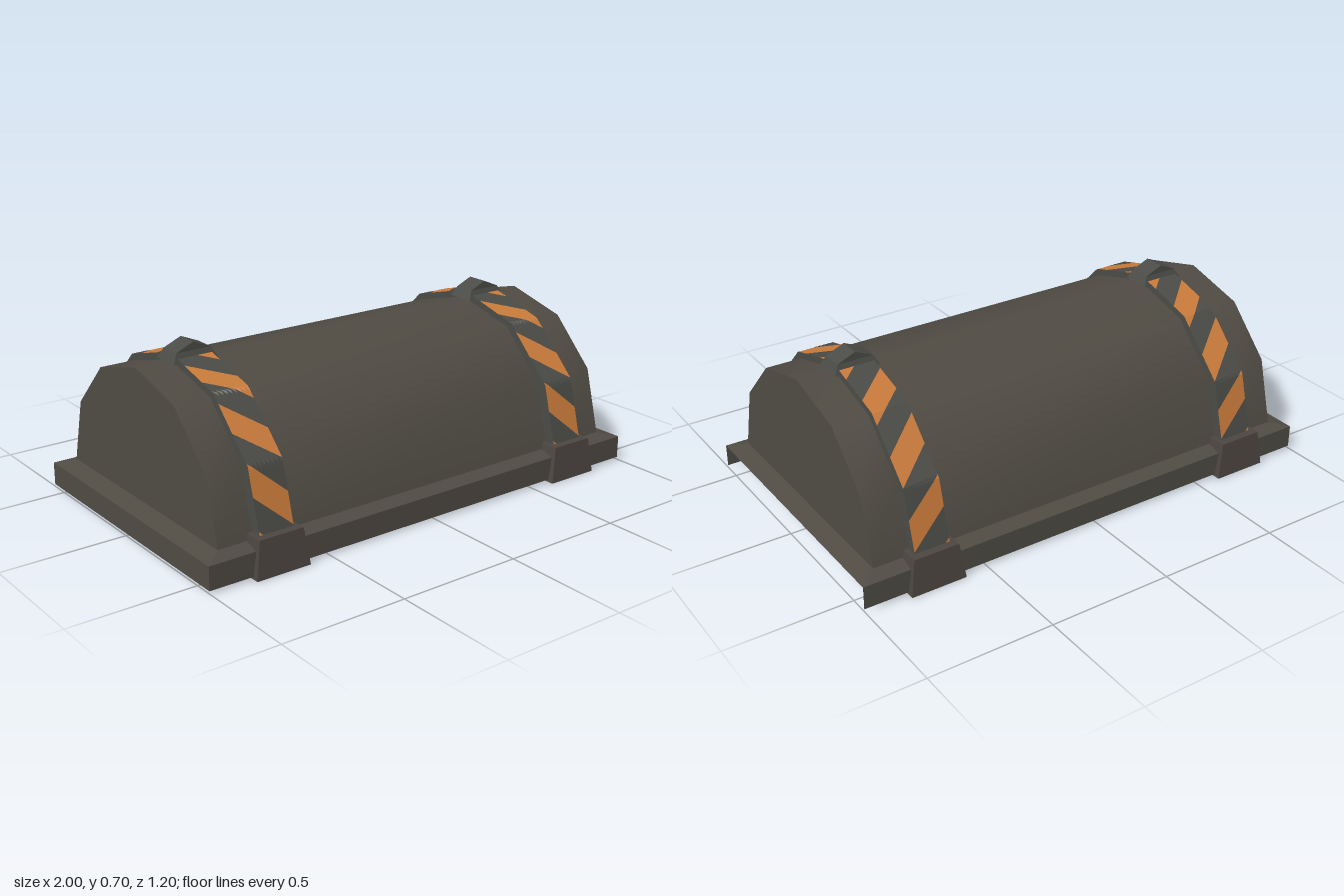
import * as THREE from 'three';

const mat = (name, color) => new THREE.MeshStandardMaterial({ name, color, side: THREE.DoubleSide });

// Half cross-sections as [z, y], from the crown down to the rim
const HULL = [[0, 0.637], [0.265, 0.568], [0.45, 0.38], [0.52, 0.12]];
const BAND = [[0, 0.667], [0.288, 0.587], [0.495, 0.38], [0.57, 0.1]];
const X_IN = 0.638, X_OUT = 0.782; // inner and outer edge of each strap

// Full arch running from back rim to front rim
const arch = (half) => [...half.slice(1).reverse().map(([z, y]) => [-z, y]), ...half];

// Flat-shaded faces from a list of four-cornered polygons
function quads(list) {
  const pos = [];
  for (const [a, b, c, d] of list) pos.push(...a, ...b, ...c, ...a, ...c, ...d);
  const g = new THREE.BufferGeometry();
  g.setAttribute('position', new THREE.Float32BufferAttribute(pos, 3));
  g.computeVertexNormals();
  return g;
}

// Smooth arched shell between two x positions
function shell(x0, x1) {
  const pos = [], idx = [], pts = arch(HULL);
  pts.forEach(([z, y], i) => {
    pos.push(x0, y, z, x1, y, z);
    if (i) {
      const k = 2 * i;
      idx.push(k - 2, k, k - 1, k - 1, k, k + 1);
    }
  });
  const g = new THREE.BufferGeometry();
  g.setAttribute('position', new THREE.Float32BufferAttribute(pos, 3));
  g.setIndex(idx);
  g.computeVertexNormals();
  return g;
}

// Point on the strap at arc length s from the crown
const bandLength = BAND.slice(1).reduce((t, p, i) => t + Math.hypot(p[0] - BAND[i][0], p[1] - BAND[i][1]), 0);
function bandPoint(s) {
  for (let i = 0; i < BAND.length - 1; i++) {
    const [a, b] = [BAND[i], BAND[i + 1]];
    const len = Math.hypot(b[0] - a[0], b[1] - a[1]);
    if (s <= len || i === BAND.length - 2) {
      const t = Math.min(s / len, 1);
      return [a[0] + (b[0] - a[0]) * t, a[1] + (b[1] - a[1]) * t];
    }
    s -= len;
  }
}

// Slanted stripes on a strap, mirrored front to back at the crown
function stripes(xStart, offset) {
  const list = [], period = 0.24, cols = 8, rows = 8, width = X_OUT - X_IN;
  const clamp = (s) => Math.min(Math.max(s, 0), bandLength);
  for (const side of [1, -1]) {
    const at = (u, s) => {
      const [z, y] = bandPoint(clamp(s + u * 0.13));
      return [xStart + u * width, y, side * z];
    };
    for (let k = -1; k < 4; k++) for (let r = 0; r < rows; r++) for (let c = 0; c < cols; c++) {
      const s0 = offset + k * period + (r / rows) * 0.12, s1 = s0 + 0.12 / rows;
      const u0 = c / cols, u1 = (c + 1) / cols;
      if (clamp(s1 + u1 * 0.13) - clamp(s0 + u0 * 0.13) < 1e-5) continue;
      const q = [at(u0, s0), at(u0, s1), at(u1, s1), at(u1, s0)];
      list.push(side > 0 ? q : q.reverse());
    }
  }
  return quads(list);
}

// Side walls joining a strap to the shell
function strapWalls(sx) {
  const hull = arch(HULL), band = arch(BAND), list = [];
  for (const [x, out] of [[X_IN, -sx], [X_OUT, sx]]) for (let i = 1; i < hull.length; i++) {
    const p = ([z, y]) => [sx * x, y, z];
    const q = [p(hull[i - 1]), p(band[i - 1]), p(band[i]), p(hull[i])];
    list.push(out > 0 ? q : q.reverse());
  }
  return quads(list);
}

// Tapered clamp around a strap foot, open underneath and at the back
function clampFoot() {
  const f = (x, y, z) => [x, y, z];
  const b = 0.113, t = 0.092, w = 0.072, h = 0.145;
  return quads([
    [f(-b, 0, 0.602), f(b, 0, 0.602), f(t, h, 0.59), f(-t, h, 0.59)],
    [f(b, 0, 0.602), f(b, 0, 0.512), f(t, h, 0.512), f(t, h, 0.59)],
    [f(-b, 0, 0.512), f(-b, 0, 0.602), f(-t, h, 0.59), f(-t, h, 0.512)],
    [f(w, h, 0.59), f(t, h, 0.59), f(t, h, 0.512), f(w, h, 0.512)],
    [f(-t, h, 0.59), f(-w, h, 0.59), f(-w, h, 0.512), f(-t, h, 0.512)],
    [f(-w, h, 0.59), f(w, h, 0.59), f(w, h, 0.557), f(-w, h, 0.557)],
  ]);
}

// Peaked buckle on the crown
function buckle() {
  const half = [[0.092, 0.635, 0.06], [0.073, 0.672, 0.044], [0, 0.703, 0.044]];
  const ring = [...half, ...half.slice(0, 2).reverse().map(([x, y, z]) => [-x, y, z])];
  const flip = ([x, y, z]) => [x, y, -z];
  const list = [];
  for (let i = 0; i < 4; i++) list.push([ring[i], flip(ring[i]), flip(ring[i + 1]), ring[i + 1]]);
  const [a, b, c, d, e] = ring;
  list.push([e, a, b, d], [d, b, c, c]);
  list.push([flip(a), flip(e), flip(d), flip(b)], [flip(b), flip(d), flip(c), flip(c)]);
  return quads(list);
}

// Sloped ledge and skirt around the base; the +x end has no skirt
function flange() {
  const list = [], X = 1, Z = 0.577, xi = 0.928, zi = 0.52, yi = 0.12, yo = 0.102, yb = 0.01;
  for (const s of [1, -1]) {
    const add = (q) => list.push(s > 0 ? q : q.reverse());
    // long sides, interrupted at the clamps
    for (const [a, b, ai, bi] of [[-X, -0.81, -xi, -0.81], [-0.61, 0.61, -0.61, 0.61], [0.81, X, 0.81, xi]]) {
      add([[a, yo, s * Z], [b, yo, s * Z], [bi, yi, s * zi], [ai, yi, s * zi]]);
      add([[a, yb, s * Z], [b, yb, s * Z], [b, yo, s * Z], [a, yo, s * Z]]);
    }
    add([[s * X, yo, Z], [s * X, yo, -Z], [s * xi, yi, -zi], [s * xi, yi, zi]]);
  }
  list.push([[-X, yb, -Z], [-X, yb, Z], [-X, yo, Z], [-X, yo, -Z]]);
  return quads(list);
}

export function createModel() {
  const group = new THREE.Group();
  const hullMat = mat('hull grey brown', 0x4f4b43);
  const clampMat = mat('clamp brown', 0x4c4641);
  const darkMat = mat('strap grey', 0x4a4a46);
  const orange = mat('stripe orange', 0xc87a3a);
  const add = (name, geo, material, parent = group) => {
    const m = new THREE.Mesh(geo, material);
    m.name = name;
    parent.add(m);
    return m;
  };

  // Arched shell, open beneath the straps
  for (const [a, b] of [[-0.928, -X_OUT], [-X_IN, X_IN], [X_OUT, 0.928]]) add('archedShell', shell(a, b), hullMat);

  // End walls
  const endShape = new THREE.Shape(arch(HULL).map(([z, y]) => new THREE.Vector2(z, y)));
  for (const s of [1, -1]) {
    const end = add('endWall', new THREE.ShapeGeometry(endShape), hullMat);
    end.rotation.y = s * Math.PI / 2;
    end.position.x = s * 0.928;
  }

  add('baseFlange', flange(), hullMat);

  // Striped straps with buckles and clamps
  for (const s of [1, -1]) {
    const strap = new THREE.Group();
    strap.name = s > 0 ? 'leftStrap' : 'rightStrap';
    group.add(strap);
    const xStart = s > 0 ? X_IN : -X_OUT;
    add('strapOrangeStripes', stripes(xStart, 0.1), orange, strap);
    add('strapDarkStripes', stripes(xStart, -0.02), darkMat, strap);
    add('strapSides', strapWalls(s), darkMat, strap);
    add('buckle', buckle(), darkMat, strap).position.x = s * 0.71;
    for (const side of [0, Math.PI]) {
      const foot = add('clamp', clampFoot(), clampMat, strap);
      foot.position.x = s * 0.71;
      foot.rotation.y = side;
    }
  }
  return group;
}
